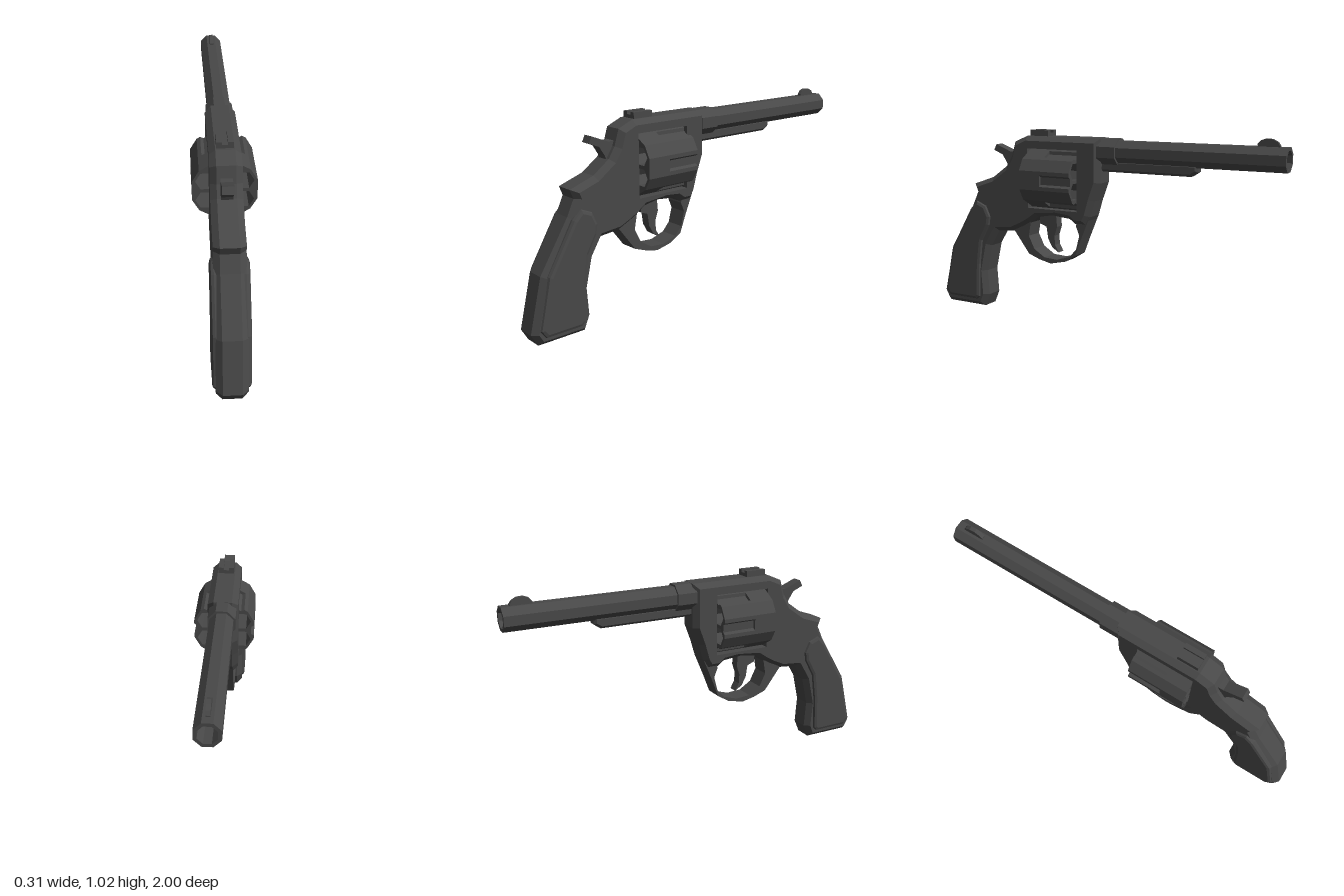
import * as THREE from 'three';

const steel = new THREE.MeshStandardMaterial({ color: 0x484848 });
steel.name = 'dark gunmetal';

const flip = (pts) => pts.map(([z, y]) => new THREE.Vector2(-z, y));

// Extrude a [z, y] side profile across x, with total half width and optional chamfer
function profile(pts, half, bevX = 0, bevSize = 0, hole = null, segments = 1) {
  const shape = new THREE.Shape(flip(pts));
  if (hole) shape.holes.push(new THREE.Path(flip(hole)));
  const depth = 2 * (half - bevX);
  const geo = new THREE.ExtrudeGeometry(shape, {
    depth, bevelEnabled: bevX > 0, bevelThickness: bevX, bevelSize: bevSize,
    bevelOffset: -bevSize, bevelSegments: segments,
  });
  geo.translate(0, 0, -depth / 2);
  geo.rotateY(Math.PI / 2);
  return geo;
}

// Regular polygon points in the x/y plane
function ring(sides, r, cx = 0, cy = 0, turn = 0) {
  return Array.from({ length: sides }, (_, i) => {
    const a = turn + (i / sides) * Math.PI * 2;
    return new THREE.Vector2(cx + r * Math.cos(a), cy + r * Math.sin(a));
  });
}

// Extrude an x/y section along z between two stations
function section(pts, holes, z0, z1) {
  const shape = new THREE.Shape(pts);
  holes.forEach((h) => shape.holes.push(new THREE.Path(h)));
  const geo = new THREE.ExtrudeGeometry(shape, { depth: z1 - z0, bevelEnabled: false });
  geo.translate(0, 0, z0);
  return geo;
}

export function createModel() {
  const group = new THREE.Group();
  const add = (name, geo, x = 0, y = 0, z = 0) => {
    const mesh = new THREE.Mesh(geo, steel);
    mesh.name = name;
    mesh.position.set(x, y, z);
    group.add(mesh);
  };

  // Frame with grip core: chamfered outline and a square-edged cylinder window
  const win = { z0: 0.08, z1: 0.385, y0: 0.6, y1: 0.92 };
  const frame = profile([
    [-0.045, 0.985], [0.4, 0.985], [0.48, 0.95], [0.505, 0.87], [0.54, 0.815], [0.63, 0.75],
    [0.76, 0.705], [0.742, 0.66], [0.78, 0.58], [0.935, 0.33], [1, 0.06], [0.965, 0],
    [0.71, 0], [0.68, 0.07], [0.69, 0.21], [0.655, 0.36], [0.6, 0.45], [0.495, 0.46],
    [0.43, 0.49], [0.385, 0.515], [0.335, 0.55], [0.25, 0.565], [0.14, 0.555], [0.105, 0.53],
    [0.04, 0.53], [0.015, 0.575], [-0.01, 0.66], [-0.045, 0.755],
  ], 0.075, 0.03, 0.025, [[win.z0, win.y0], [win.z1, win.y0], [win.z1, win.y1], [win.z0, win.y1]]);
  const p = frame.attributes.position;
  for (let i = 0; i < p.count; i++) {
    const y = p.getY(i), z = p.getZ(i), off = Math.abs(z - 0.2325);
    if (off > 0.15 && off < 0.185 && y > 0.572 && y < 0.95) {
      p.setY(i, THREE.MathUtils.clamp(y, win.y0, win.y1));
      p.setZ(i, THREE.MathUtils.clamp(z, win.z0, win.z1));
    }
  }
  frame.computeVertexNormals();
  add('frame', frame);

  // Raised grip panels on both sides
  add('gripPanels', profile([
    [0.725, 0.615], [0.665, 0.59], [0.637, 0.53], [0.645, 0.48], [0.695, 0.39], [0.715, 0.25],
    [0.725, 0.06], [0.745, 0.04], [0.94, 0.04], [0.968, 0.08], [0.912, 0.33], [0.77, 0.57],
  ], 0.09, 0.018, 0.018, null, 2));

  // Trigger guard and trigger
  add('triggerGuard', profile([
    [0.5, 0.47], [0.4, 0.34], [0.33, 0.315], [0.26, 0.3], [0.17, 0.32], [0.105, 0.36],
    [0.07, 0.45], [0.02, 0.57], [0.09, 0.56], [0.1, 0.52], [0.08, 0.47], [0.1, 0.395],
    [0.14, 0.35], [0.22, 0.325], [0.3, 0.33], [0.365, 0.37], [0.4, 0.44], [0.385, 0.52], [0.4, 0.55],
  ], 0.05));
  add('trigger', profile([
    [0.345, 0.58], [0.34, 0.51], [0.3, 0.495], [0.29, 0.43], [0.265, 0.385], [0.225, 0.36],
    [0.247, 0.4], [0.25, 0.45], [0.233, 0.5], [0.24, 0.58],
  ], 0.025));

  // Hammer with thumb spur
  add('hammer', profile([
    [0.46, 0.93], [0.495, 0.895], [0.525, 0.893], [0.575, 0.912], [0.62, 0.93],
    [0.636, 0.898], [0.58, 0.875], [0.55, 0.83], [0.54, 0.8], [0.46, 0.82],
  ], 0.028));

  // Six-chamber cylinder: plain rear half, fluted front half
  const cy = 0.76;
  const chambers = Array.from({ length: 6 }, (_, k) => {
    const a = Math.PI / 6 + (k * Math.PI) / 3;
    return ring(6, 0.049, 0.103 * Math.cos(a), cy + 0.103 * Math.sin(a));
  });
  const drum = (face) => {
    const pts = [];
    for (let k = 0; k < 6; k++) {
      for (const [x, y] of face) {
        pts.push(new THREE.Vector2(x, y).rotateAround(new THREE.Vector2(), (k * Math.PI) / 3));
      }
    }
    pts.forEach((v) => { v.y += cy; });
    return pts;
  };
  add('cylinderRear', section(drum([[0.154, -0.05], [0.154, 0.05]]), chambers, 0.26, 0.385));
  add('cylinderFront', section(drum([
    [0.154, -0.05], [0.154, -0.03], [0.139, -0.02], [0.139, 0.02], [0.154, 0.03], [0.154, 0.05],
  ]), chambers, 0.08, 0.26));

  // Octagonal barrel with open bore, and its collar
  const by = 0.917, eighth = Math.PI / 8;
  add('barrel', section(ring(8, 0.0625, 0, by, eighth), [ring(8, 0.046, 0, by, eighth)], -1, -0.03));
  add('barrelCollar', section(ring(8, 0.073, 0, by, eighth), [], -0.135, -0.03));

  // Rod housing under the barrel
  add('rodHousing', profile([
    [-0.03, 0.875], [-0.565, 0.875], [-0.565, 0.838], [-0.53, 0.815], [-0.03, 0.815],
  ], 0.032, 0.012, 0.012));

  // Notched rear sight and rounded front sight blade
  add('rearSightBase', new THREE.BoxGeometry(0.08, 0.025, 0.11), 0, 0.99, 0.33);
  for (const s of [-1, 1]) {
    add('rearSightPost', new THREE.BoxGeometry(0.026, 0.018, 0.11), s * 0.027, 1.007, 0.33);
  }
  add('frontSight', profile([
    [-0.85, 0.965], [-0.85, 0.985], [-0.865, 1.003], [-0.89, 1.012], [-0.92, 1.01],
    [-0.945, 0.997], [-0.957, 0.98], [-0.957, 0.965],
  ], 0.01));

  return group;
}
